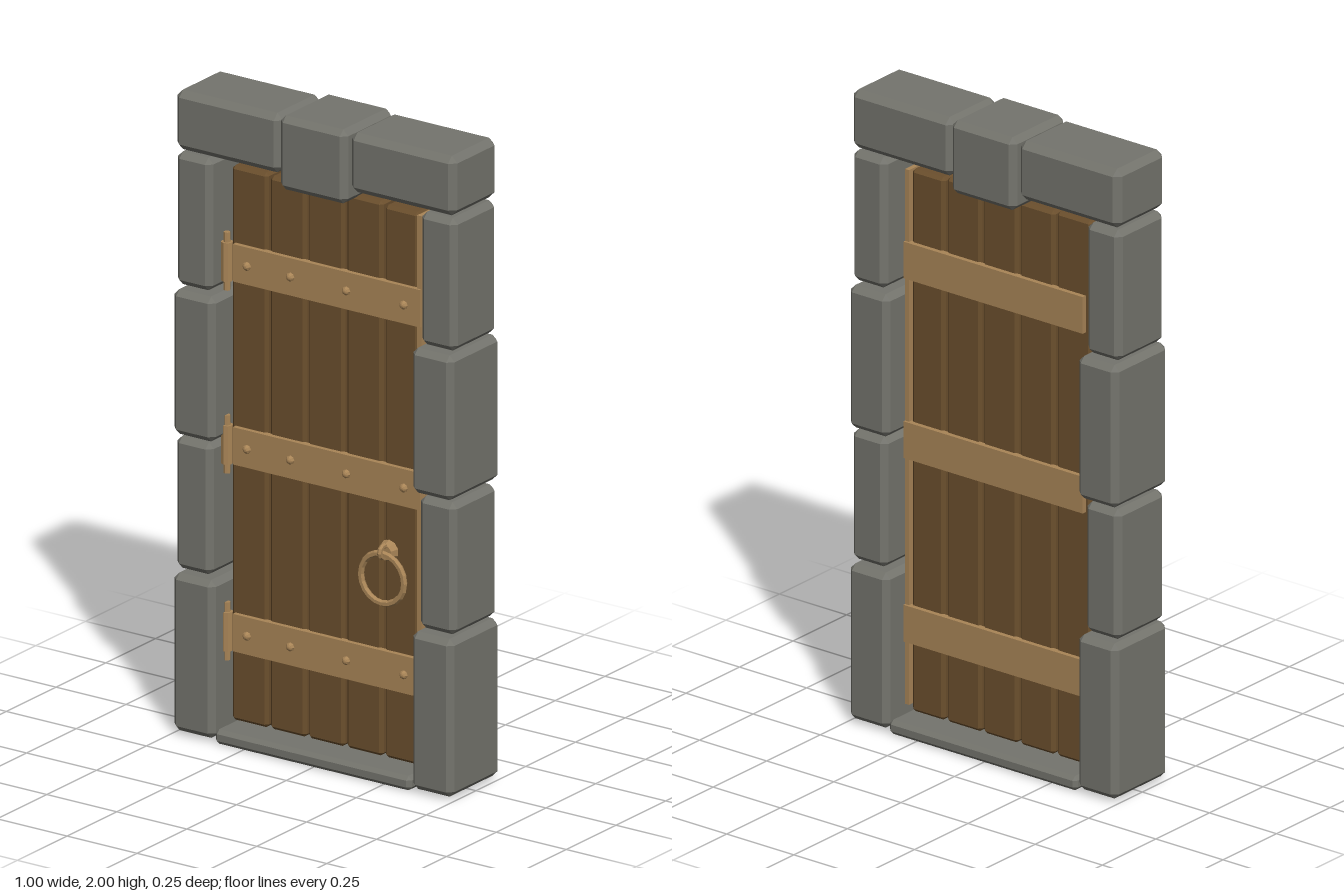
import * as THREE from 'three';
import { ConvexGeometry } from 'three/addons/geometries/ConvexGeometry.js';

const mat = (name, color) => {
  const m = new THREE.MeshStandardMaterial({ color, flatShading: true });
  m.name = name;
  return m;
};

// Box between two corners with all edges chamfered by c
function chamferBox(min, max, c) {
  const h = min.map((v, i) => (max[i] - v) / 2);
  const pts = [];
  for (const sx of [-1, 1]) for (const sy of [-1, 1]) for (const sz of [-1, 1]) {
    for (let full = 0; full < 3; full++) {
      const e = h.map((v, i) => (i === full ? v : v - c));
      pts.push(new THREE.Vector3(sx * e[0], sy * e[1], sz * e[2]));
    }
  }
  const g = new ConvexGeometry(pts);
  g.translate((min[0] + max[0]) / 2, (min[1] + max[1]) / 2, (min[2] + max[2]) / 2);
  return g;
}

export function createModel() {
  const group = new THREE.Group();
  group.name = 'stoneFramedDoor';
  const stone = mat('stone', 0x74746d);
  const wood = mat('wood', 0x6b4f2d);
  const brass = mat('brass', 0xa98557);

  const add = (name, geometry, material, x = 0, y = 0, z = 0) => {
    const m = new THREE.Mesh(geometry, material);
    m.name = name;
    m.position.set(x, y, z);
    group.add(m);
    return m;
  };
  const block = (name, material, x0, x1, y0, y1, depth, c) =>
    add(name, chamferBox([x0, y0, -depth], [x1, y1, depth], c), material);

  // Jamb stones: alternating wide and narrow, [bottom, top, inner x, half depth]
  const jambs = [
    [0.01, 0.5, 0.352, 0.125],
    [0.51, 0.92, 0.37, 0.111],
    [0.93, 1.38, 0.352, 0.125],
    [1.39, 1.802, 0.373, 0.109],
  ];
  for (const [y0, y1, inner, d] of jambs) {
    block('leftJambStone', stone, inner, 0.5, y0, y1, d, 0.018);
    block('rightJambStone', stone, -0.5, -inner, y0, y1, d, 0.018);
  }

  // Lintel, keystone and sill
  block('leftLintel', stone, 0.123, 0.5, 1.81, 1.995, 0.113, 0.02);
  block('rightLintel', stone, -0.5, -0.123, 1.81, 1.995, 0.113, 0.02);
  block('keystone', stone, -0.12, 0.12, 1.77, 2, 0.125, 0.018);
  block('sill', stone, -0.35, 0.35, 0, 0.045, 0.123, 0.012);

  // Five planks with narrow gaps
  const tops = [1.775, 1.77, 1.775, 1.775, 1.768];
  tops.forEach((top, i) => {
    const x0 = -0.343 + i * 0.1365;
    block('plank', wood, x0, x0 + (i === 4 ? 0.122 : 0.129), 0.053, top, 0.045, 0.01);
  });

  // Edge trim on the latch side
  add('edgeTrim', new THREE.BoxGeometry(0.015, 1.69, 0.105), brass, 0.3345, 0.92, 0);

  // Straps on both faces, with rivets and hinges on the front
  const rivet = new THREE.SphereGeometry(0.014, 8, 4, 0, Math.PI * 2, 0, Math.PI / 2).rotateX(Math.PI / 2);
  const pin = new THREE.CylinderGeometry(0.01, 0.01, 0.18, 8);
  const barrel = new THREE.CylinderGeometry(0.018, 0.018, 0.12, 8);
  for (const y of [0.332, 0.912, 1.48]) {
    for (const side of [-1, 1]) {
      add(side > 0 ? 'frontStrap' : 'backStrap', new THREE.BoxGeometry(0.668, 0.116, 0.02), brass, 0.008, y, side * 0.05);
    }
    for (const x of [-0.275, -0.12, 0.08, 0.285]) add('rivet', rivet, brass, x, y, 0.059);
    add('hingePin', pin, brass, -0.35, y, 0.055);
    add('hingeBarrel', barrel, brass, -0.35, y, 0.055);
  }

  // Ring pull hanging from a round boss
  const boss = new THREE.CylinderGeometry(0.024, 0.034, 0.025, 10).rotateX(Math.PI / 2);
  add('ringBoss', boss, brass, 0.222, 0.7, 0.056);
  add('ringLoop', new THREE.TorusGeometry(0.018, 0.008, 6, 10).rotateY(Math.PI / 2), brass, 0.222, 0.705, 0.075);
  add('pullRing', new THREE.TorusGeometry(0.077, 0.01, 6, 20), brass, 0.222, 0.623, 0.078);

  return group;
}
